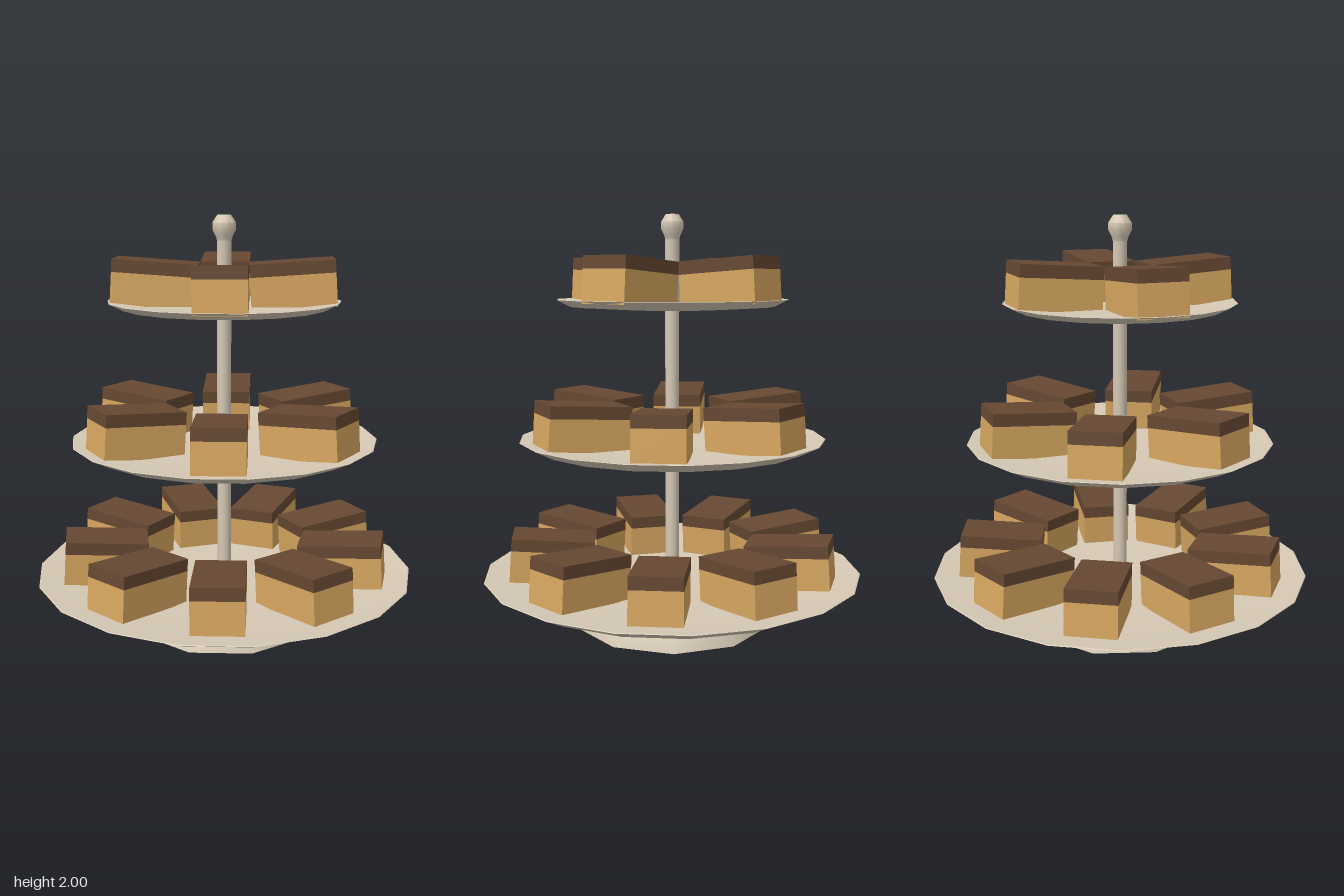
import * as THREE from 'three';
import { toCreasedNormals } from 'three/addons/utils/BufferGeometryUtils.js';

const material = (name, color) => {
  const m = new THREE.MeshStandardMaterial({ color });
  m.name = name;
  return m;
};

export function createModel() {
  const cream = material('cream ceramic', 0xd6c9b5);
  const sponge = material('golden sponge', 0xd8a760);
  const chocolate = material('chocolate icing', 0x664832);
  const model = new THREE.Group();
  model.name = 'tieredCakeStand';

  // Revolved part with a vertex on +x and sharp edges kept sharp
  const turned = (name, profile, sides, crease) => {
    const points = profile.map(([r, y]) => new THREE.Vector2(r, y));
    const lathe = new THREE.LatheGeometry(points, sides, Math.PI / 2);
    const mesh = new THREE.Mesh(toCreasedNormals(lathe, crease), cream);
    mesh.name = name;
    model.add(mesh);
    return mesh;
  };

  // Domed foot
  turned('foot', [[0, 0], [0.477, 0], [0.457, 0.06], [0.405, 0.13], [0.345, 0.18], [0.25, 0.2], [0, 0.2]], 10, 0.8);

  // Central pole and rounded finial
  turned('pole', [[0, 0.18], [0.034, 0.18], [0.034, 1.9], [0, 1.9]], 12, 0.8);
  turned('finial', [[0, 1.87], [0.034, 1.88], [0.04, 1.9], [0.055, 1.93], [0.055, 1.965], [0.032, 2], [0, 2]], 10, 0.8);

  // Slice of cake: sponge with an icing layer, long side along z
  const width = 0.24, length = 0.4, height = 0.215, icing = 0.06;
  const spongeGeometry = new THREE.BoxGeometry(width, height - icing, length).translate(0, -(height + icing) / 2, 0);
  const icingGeometry = new THREE.BoxGeometry(width, icing, length).translate(0, -icing / 2, 0);
  const cakeSlice = () => {
    const slice = new THREE.Group();
    slice.name = 'cakeSlice';
    const base = new THREE.Mesh(spongeGeometry, sponge);
    base.name = 'sponge';
    const top = new THREE.Mesh(icingGeometry, chocolate);
    top.name = 'icing';
    slice.add(base, top);
    return slice;
  };

  // Shallow plates, each with a ring of slices leaning in to the centre
  const tiers = [
    { name: 'lower', radius: 0.93, rim: 0.26, count: 9, ring: 0.592 },
    { name: 'middle', radius: 0.746, rim: 0.93, count: 6, ring: 0.467 },
    { name: 'upper', radius: 0.558, rim: 1.6, count: 4, ring: 0.325 },
  ];
  for (const { name, radius, rim, count, ring } of tiers) {
    const plate = turned(name + 'Plate',
      [[0, 0], [0.47, 0], [0.88, 0.024], [1, 0.083], [0.995, 0.086], [0.68, 0.05], [0, 0.05]]
        .map(([r, y]) => [r * radius, y * radius]), 18, 0.6);
    plate.position.y = rim - 0.086 * radius;

    for (let i = 0; i < count; i++) {
      const holder = new THREE.Group();
      holder.name = name + 'Slice' + (i + 1);
      holder.rotation.y = (i / count) * Math.PI * 2;
      const slice = cakeSlice();
      slice.position.set(0, rim + 0.188, ring - 0.008);
      slice.rotation.x = -0.068;
      holder.add(slice);
      model.add(holder);
    }
  }
  return model;
}
